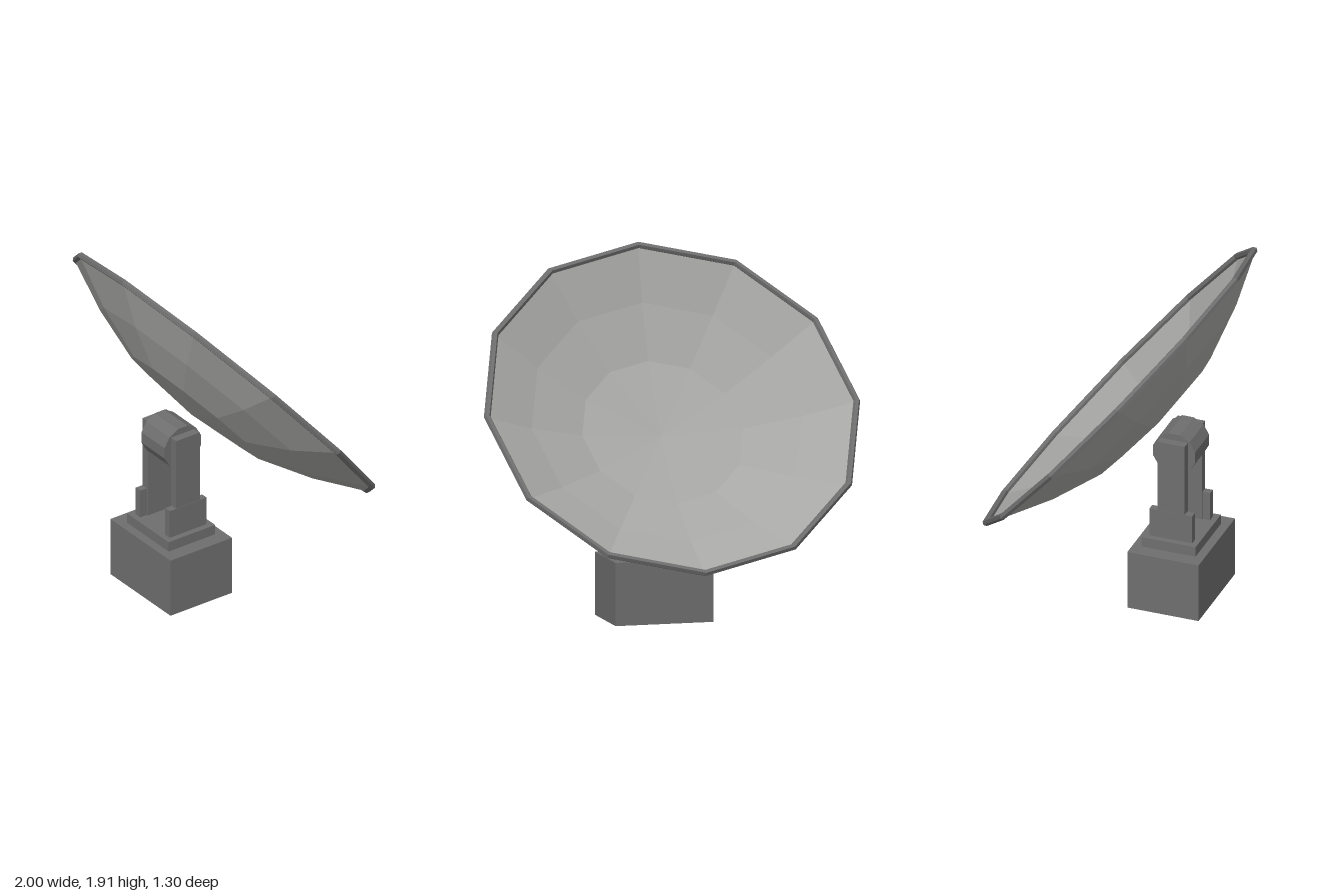
import * as THREE from 'three';

export function createModel() {
  const model = new THREE.Group();
  model.name = 'satelliteDish';

  const frame = new THREE.MeshStandardMaterial({ color: 0x6e6e6e, flatShading: true });
  frame.name = 'dark grey metal';
  const panel = new THREE.MeshStandardMaterial({ color: 0xa6a6a4, flatShading: true, side: THREE.DoubleSide });
  panel.name = 'light grey panel';

  const add = (parent, name, geometry, material) => {
    const mesh = new THREE.Mesh(geometry, material);
    mesh.name = name;
    parent.add(mesh);
    return mesh;
  };
  // Box given by its limits on each axis
  const box = (name, x0, x1, y0, y1, z0, z1) => {
    const mesh = add(model, name, new THREE.BoxGeometry(x1 - x0, y1 - y0, z1 - z0), frame);
    mesh.position.set((x0 + x1) / 2, (y0 + y1) / 2, (z0 + z1) / 2);
  };

  // Pedestal
  box('base', -0.26, 0.26, 0, 0.327, 0.14, 0.53);
  box('turntable', -0.18, 0.18, 0.327, 0.382, 0.188, 0.483);

  // Fork arms with wider feet
  for (const [side, s] of [['left', 1], ['right', -1]]) {
    const span = (a, b) => (s > 0 ? [a, b] : [-b, -a]);
    box(side + 'Arm', ...span(0.1, 0.145), 0.382, 0.94, 0.26, 0.41);
    box(side + 'ArmFoot', ...span(0.108, 0.147), 0.382, 0.54, 0.218, 0.452);
  }

  // Tilt drum between the arms
  const drum = new THREE.CylinderGeometry(0.119, 0.119, 0.2, 12);
  drum.rotateY(Math.PI / 12).rotateZ(Math.PI / 2);
  add(model, 'tiltDrum', drum, frame).position.set(0, 0.86, 0.335);

  // Tilted reflector, opening up and to the back
  const dish = new THREE.Group();
  dish.name = 'dish';
  dish.position.set(0, 1.135, 0);
  dish.rotation.x = -0.874;
  model.add(dish);

  const profile = [[0, -0.272], [0.427, -0.23], [0.717, -0.132], [0.975, -0.012]]
    .map(([r, y]) => new THREE.Vector2(r, y));
  add(dish, 'reflector', new THREE.LatheGeometry(profile, 12), panel);

  const rim = new THREE.TorusGeometry(0.982, 0.018, 6, 12);
  rim.rotateX(Math.PI / 2);
  add(dish, 'rim', rim, frame);

  return model;
}
